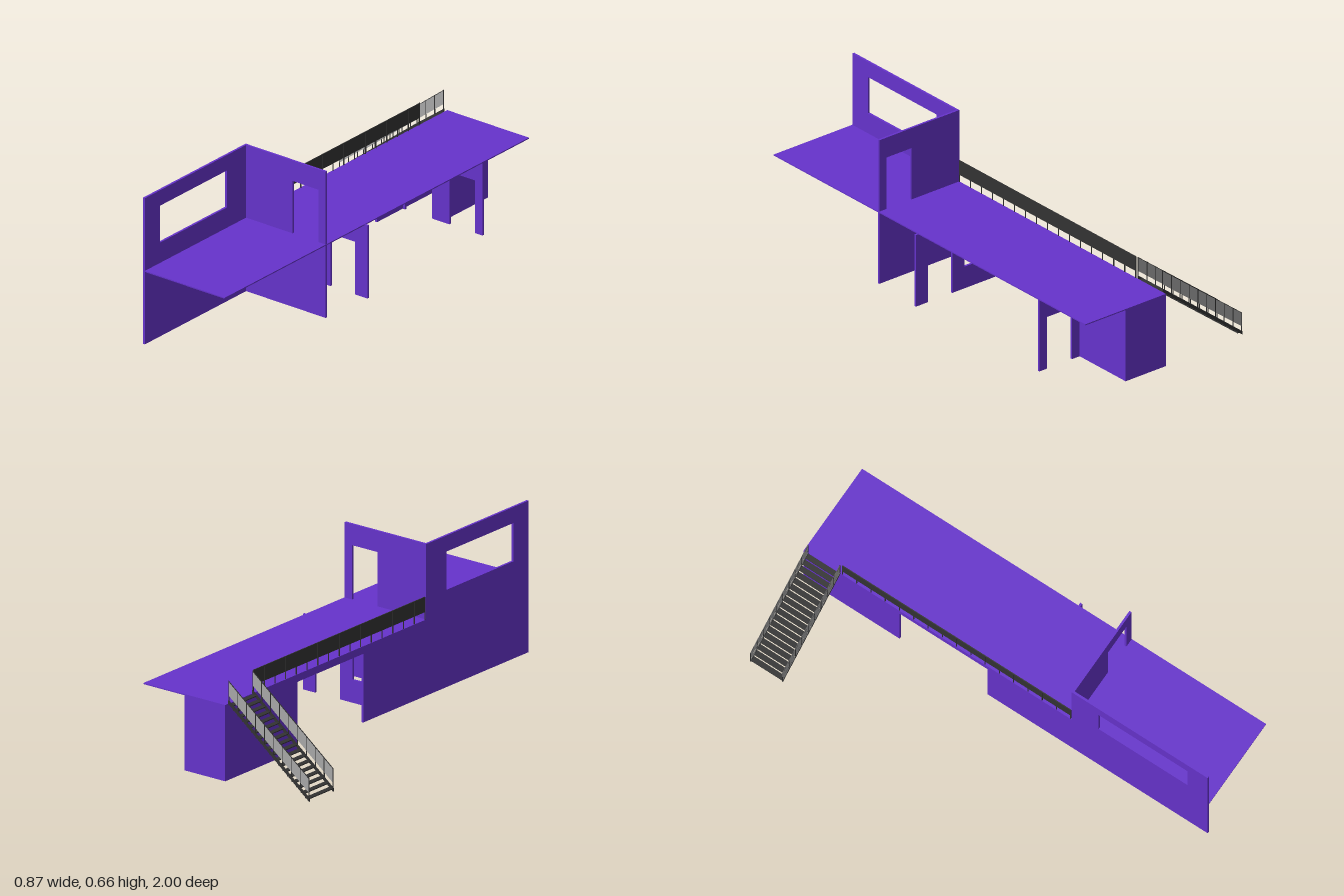
import * as THREE from 'three';

const T = 0.01;          // wall thickness
const FLOOR = 0.333;     // deck height
const TOP = 0.662;       // top of the upper walls

const purple = new THREE.MeshStandardMaterial({ color: 0x6633cc });
const dark = new THREE.MeshStandardMaterial({ color: 0x333333 });
const grey = new THREE.MeshStandardMaterial({ color: 0xa8a8a8 });

function box(parent, name, mat, x0, x1, y0, y1, z0, z1) {
  const m = new THREE.Mesh(new THREE.BoxGeometry(x1 - x0, y1 - y0, z1 - z0), mat);
  m.position.set((x0 + x1) / 2, (y0 + y1) / 2, (z0 + z1) / 2);
  m.name = name;
  parent.add(m);
}

const path = (pts) => pts.map(([u, v]) => new THREE.Vector2(u, v));

// Extrudes an outline with rectangular holes [u0, u1, v0, v1], centred on depth 0
function slab(pts, holes, t) {
  const shape = new THREE.Shape(path(pts));
  for (const [a, b, c, d] of holes) shape.holes.push(new THREE.Path(path([[a, c], [a, d], [b, d], [b, c]])));
  return new THREE.ExtrudeGeometry(shape, { depth: t, bevelEnabled: false }).translate(0, 0, -t / 2);
}

// Wall facing z: outline in (x, y)
function crossWall(parent, name, z, pts, holes = []) {
  const m = new THREE.Mesh(slab(pts, holes, T), purple);
  m.position.z = z;
  m.name = name;
  parent.add(m);
}

// Wall facing x: outline in (z, y)
function sideWall(parent, name, x, pts, holes = []) {
  const m = new THREE.Mesh(slab(pts, holes, T).rotateY(-Math.PI / 2), purple);
  m.position.x = x;
  m.name = name;
  parent.add(m);
}

function buildHouse() {
  const g = new THREE.Group();
  g.name = 'building';
  const U = FLOOR - 0.003;
  box(g, 'deck', purple, -0.01, 0.42, FLOOR - 0.005, FLOOR, -1, 1);

  // Long wall: tall at the front with a window, wide passage towards the back
  sideWall(g, 'longWall', -0.005, [
    [-1, 0], [-0.525, 0], [-0.525, 0.3], [-0.09, 0.3], [-0.09, 0], [1, 0],
    [1, TOP], [0.325, TOP], [0.325, U], [-1, U],
  ], [[0.46, 0.9, 0.425, 0.592]]);

  // Full-height partition with the upper doorway
  crossWall(g, 'upperDoorWall', 0.33,
    [[-0.01, 0], [0.418, 0], [0.418, TOP], [-0.01, TOP]],
    [[0.245, 0.38, FLOOR, 0.57]]);

  // Lower partition with a window and a doorway
  crossWall(g, 'lowerWindowWall', 0.075, [
    [-0.01, 0], [0.24, 0], [0.24, 0.238], [0.37, 0.238], [0.37, 0],
    [0.435, 0], [0.435, U], [-0.01, U],
  ], [[0.037, 0.174, 0.1, 0.212]]);

  // Rear partition with two doorways
  crossWall(g, 'rearDoorWall', -0.7, [
    [-0.01, 0], [0.012, 0], [0.012, 0.238], [0.153, 0.238], [0.153, 0],
    [0.245, 0], [0.245, 0.238], [0.38, 0.238], [0.38, 0], [0.42, 0], [0.42, U], [-0.01, U],
  ]);

  // Small room at the back
  crossWall(g, 'backWall', -0.995, [[-0.01, 0], [0.205, 0], [0.205, U], [-0.01, U]]);
  sideWall(g, 'roomWall', 0.2, [[-1, 0], [-0.7, 0], [-0.7, U], [-1, U]]);
  return g;
}

function buildDeckRailing() {
  const g = new THREE.Group();
  g.name = 'deckRailing';
  const z0 = -0.81, z1 = 0.32, n = 16, x = -0.007;
  box(g, 'railPanel', dark, x - 0.001, x + 0.001, 0.366, 0.43, z0, z1);
  box(g, 'handrail', dark, x - 0.002, x + 0.002, 0.429, 0.433, z0, z1);
  for (let i = 0; i <= n; i++) {
    const z = z0 + (z1 - z0) * i / n;
    box(g, 'railPost', dark, x - 0.002, x + 0.002, FLOOR, 0.431, z - 0.0015, z + 0.0015);
  }
  return g;
}

function buildStairs() {
  const g = new THREE.Group();
  g.name = 'stairs';
  const x0 = -0.435, x1 = -0.01, rise = FLOOR, steps = 18;
  const run = (x1 - x0) / steps;

  // Sloping strip between two heights above the stair line
  const strip = (name, mat, low, high, t, z) => {
    const m = new THREE.Mesh(slab(
      [[x0, low], [x1, low + rise], [x1, high + rise], [x0, high]], [], t), mat);
    m.position.z = z;
    m.name = name;
    g.add(m);
  };

  for (const z of [-0.978, -0.82]) {
    strip('stringer', dark, -0.001 + 0.001, 0.015, 0.005, z);
    strip('stairPanel', grey, 0.036, 0.098, 0.001, z);
    strip('stairHandrail', dark, 0.097, 0.1, 0.003, z);
    for (let i = 0; i <= 9; i++) {
      const x = x0 + 0.0015 + (x1 - x0 - 0.003) * i / 9;
      const y = rise * i / 9;
      box(g, 'stairPost', dark, x - 0.0015, x + 0.0015, y + 0.004, y + 0.099, z - 0.0015, z + 0.0015);
    }
  }
  for (let i = 0; i < steps; i++) {
    const x = x0 + run * i;
    const y = rise * (i + 0.6) / steps;
    box(g, 'tread', dark, x, x + run, y, y + 0.004, -0.978, -0.82);
  }
  return g;
}

export function createModel() {
  const model = new THREE.Group();
  model.name = 'raisedDeckBuilding';
  model.add(buildHouse(), buildDeckRailing(), buildStairs());
  return model;
}
